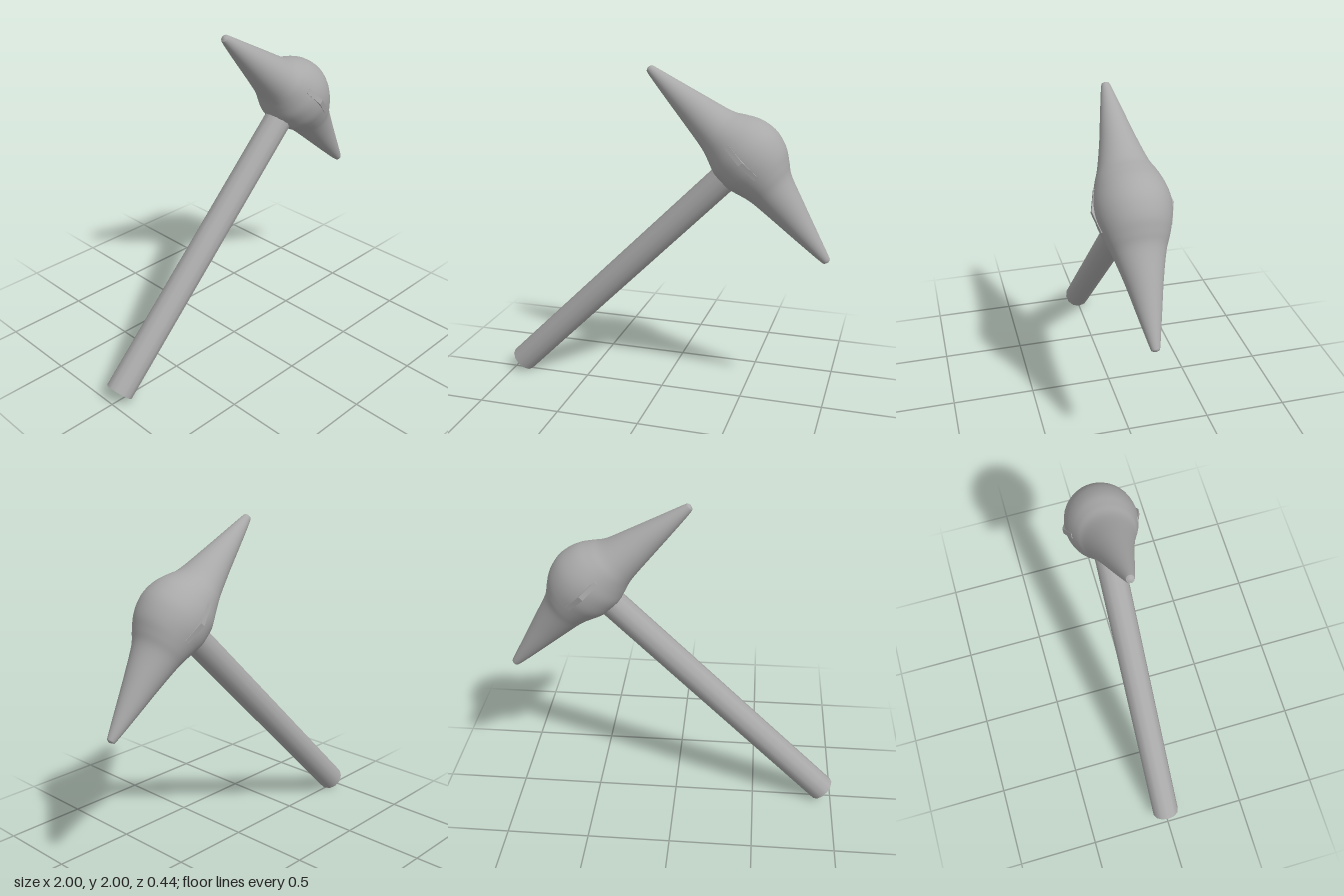
import * as THREE from 'three';

const grey = new THREE.MeshStandardMaterial({ color: 0xa9a9a9 });
grey.name = 'plain grey';

// Half of the head, tip to centre: [distance along head, lower edge, upper edge, half depth]
const HALF = [
  [-0.755, -0.064, -0.064, 0],
  [-0.748, -0.081, -0.047, 0.017],
  [-0.725, -0.093, -0.036, 0.028],
  [-0.56, -0.113, 0.016, 0.065],
  [-0.4, -0.13, 0.067, 0.1],
  [-0.25, -0.146, 0.116, 0.14],
  [-0.18, -0.158, 0.16, 0.167],
  [-0.12, -0.178, 0.198, 0.187],
  [-0.06, -0.197, 0.219, 0.203],
];
const SECTIONS = [
  ...HALF,
  [0, -0.2, 0.227, 0.208],
  ...HALF.map(([v, b, t, d]) => [-v, b, t, d]).reverse(),
];

// Smooth skin of elliptical rings along x
function headGeometry(rings = 90, sides = 40) {
  const edges = new THREE.CatmullRomCurve3(
    SECTIONS.map(([v, b, t]) => new THREE.Vector3(v, b, t)), false, 'catmullrom', 0.5);
  const depths = new THREE.CatmullRomCurve3(
    SECTIONS.map((s) => new THREE.Vector3(s[3], 0, 0)), false, 'catmullrom', 0.5);
  const positions = [];
  const index = [];
  for (let i = 0; i <= rings; i++) {
    const { x, y: low, z: high } = edges.getPoint(i / rings);
    const depth = depths.getPoint(i / rings).x;
    for (let j = 0; j < sides; j++) {
      const a = (j / sides) * Math.PI * 2;
      positions.push(x, (low + high) / 2 + Math.cos(a) * (high - low) / 2, Math.sin(a) * depth);
      if (i === rings) continue;
      const k = (j + 1) % sides;
      const p = i * sides;
      const q = p + sides;
      index.push(p + j, p + k, q + j, p + k, q + k, q + j);
    }
  }
  const g = new THREE.BufferGeometry();
  g.setAttribute('position', new THREE.Float32BufferAttribute(positions, 3));
  g.setIndex(index);
  g.computeVertexNormals();
  return g;
}

// Peaked bar running through the head and showing as a ridge on both faces
function ridgeGeometry() {
  const outline = new THREE.Shape([
    [-0.12, -0.19], [0, -0.222], [0.12, -0.19],
    [0.12, 0.19], [0, 0.222], [-0.12, 0.19],
  ].map(([x, y]) => new THREE.Vector2(x, y)));
  return new THREE.ExtrudeGeometry(outline, { depth: 0.03, bevelEnabled: false })
    .translate(0, 0, -0.015)
    .rotateX(Math.PI / 2)
    .translate(0, 0.012, 0);
}

export function createModel() {
  const model = new THREE.Group();
  model.name = 'pickaxe';
  // Built upright around the head centre, then leaned over
  model.position.set(0.5, 1.51, 0);
  model.rotation.z = -Math.PI / 4;

  const add = (name, geometry) => {
    const mesh = new THREE.Mesh(geometry, grey);
    mesh.name = name;
    model.add(mesh);
  };

  add('head', headGeometry());
  add('headRidge', ridgeGeometry());
  const length = 1.94;
  add('handle', new THREE.CylinderGeometry(0.083, 0.083, length, 12)
    .translate(0, -2.04 + length / 2, 0));

  const root = new THREE.Group();
  root.add(model);
  return root;
}
